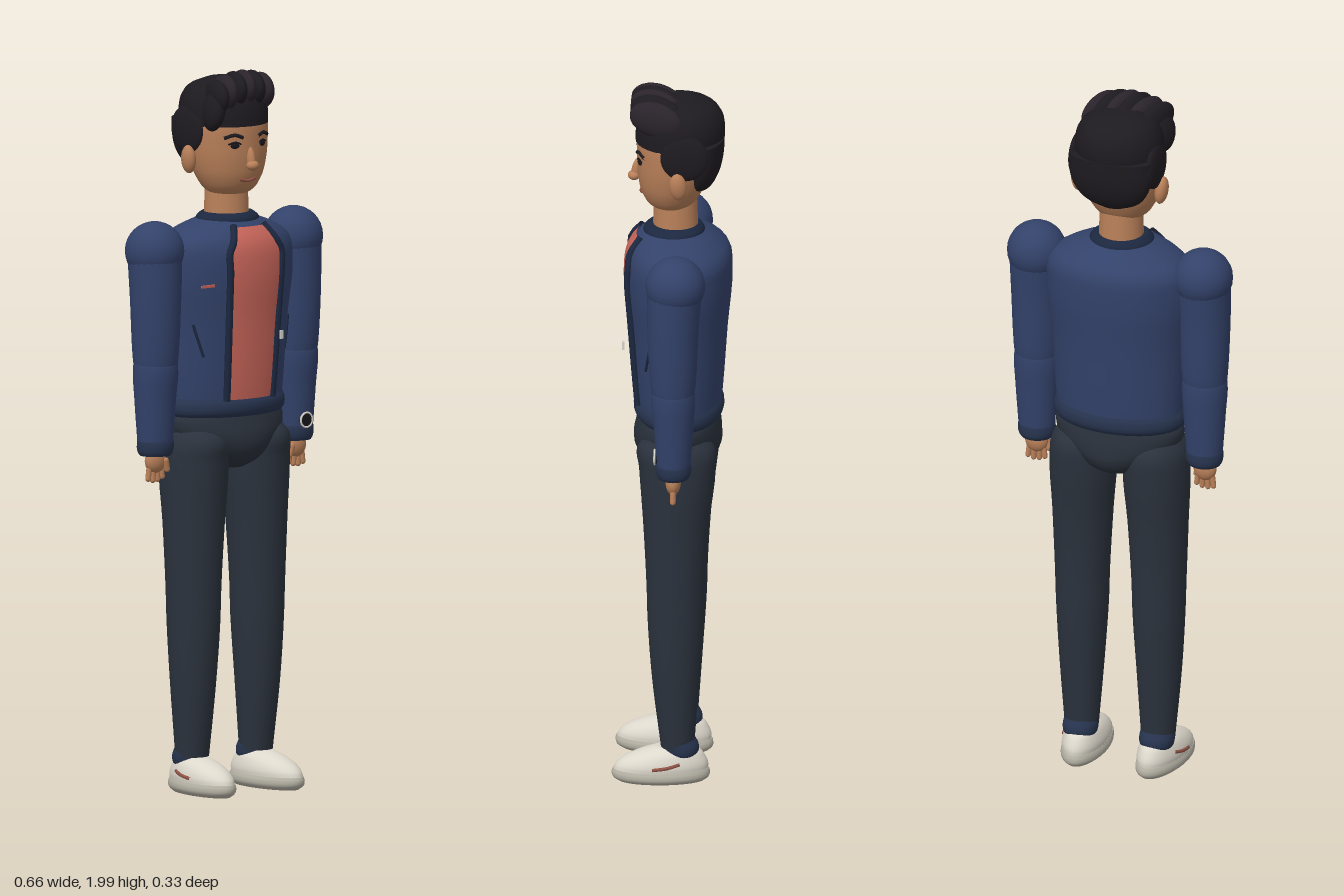
import * as THREE from 'three';

const C = {
  jacket: 0x33426a, trim: 0x1c2840, hem: 0x27344f, shirt: 0xc9665a, pants: 0x2b323d, skin: 0xb98059,
  hair: 0x1e1b20, strand: 0x2a232b, shoe: 0xddd8cc, sole: 0xb9b5a8, dark: 0x17151a, lip: 0x8f5244, metal: 0xd8d4cc,
};
const mats = {};
const mat = (name) => (mats[name] ??= new THREE.MeshStandardMaterial({ color: C[name], side: THREE.DoubleSide }));

function add(parent, name, geometry, color, pos = [0, 0, 0], rot = [0, 0, 0], scale = [1, 1, 1]) {
  const m = new THREE.Mesh(geometry, mat(color));
  m.name = name;
  m.position.set(...pos);
  m.rotation.set(...rot);
  m.scale.set(...scale);
  parent.add(m);
  return m;
}
const ball = (parent, name, color, pos, radii, rot) =>
  add(parent, name, new THREE.SphereGeometry(1, 24, 16), color, pos, rot, radii);
const tube = (parent, name, color, pts, r) => add(parent, name, new THREE.TubeGeometry(
  new THREE.CatmullRomCurve3(pts.map((p) => new THREE.Vector3(...p))), 24, r, 8), color);

// Cross-sections are [y, half width, front z, back z, centre x], smoothly interpolated by height
function section(rings) {
  const f = new THREE.CubicInterpolant(new Float32Array(rings.map((r) => r[0])),
    new Float32Array(rings.flatMap(([, w, f, b, x = 0]) => [w, f, b, x])), 4);
  return (y) => Array.from(f.evaluate(y));
}
function frontZ(rings, x, y) {
  const [w, f, b, cx] = section(rings)(y);
  return (f + b) / 2 + (f - b) / 2 * Math.sqrt(Math.max(0, 1 - ((x - cx) / w) ** 2));
}
function loft(rings, mirror = 1, steps = 4, seg = 32) {
  const at = section(rings), pos = [], idx = [], ys = [];
  rings.forEach(([y], i) => {
    if (i) for (let k = 1; k <= steps; k++) ys.push(rings[i - 1][0] + (y - rings[i - 1][0]) * k / steps);
    else ys.push(y);
  });
  const ring = (y) => {
    const [w, f, b, cx] = at(y);
    for (let j = 0; j < seg; j++) {
      const a = j / seg * Math.PI * 2;
      pos.push(cx * mirror + w * Math.sin(a), y, (f + b) / 2 + (f - b) / 2 * Math.cos(a));
    }
  };
  ys.forEach(ring);
  for (let i = 0; i < ys.length - 1; i++) for (let j = 0; j < seg; j++) {
    const a = i * seg + j, b = i * seg + (j + 1) % seg;
    idx.push(a, b, b + seg, a, b + seg, a + seg);
  }
  // Flat end caps on their own vertices
  for (const top of [false, true]) {
    const start = pos.length / 3;
    ring(top ? ys[ys.length - 1] : ys[0]);
    for (let j = 1; j < seg - 1; j++) idx.push(start, start + (top ? j : j + 1), start + (top ? j + 1 : j));
  }
  const g = new THREE.BufferGeometry();
  g.setAttribute('position', new THREE.Float32BufferAttribute(pos, 3));
  g.setIndex(idx);
  g.computeVertexNormals();
  return g;
}

const TORSO = [[1.06, 0.178, 0.098, -0.13], [1.12, 0.184, 0.105, -0.136], [1.3, 0.195, 0.119, -0.149],
  [1.47, 0.211, 0.132, -0.162], [1.53, 0.196, 0.123, -0.153], [1.565, 0.14, 0.1, -0.115], [1.585, 0.085, 0.076, -0.08]];
const HEAD = [[1.647, 0.035, 0.04, -0.03], [1.658, 0.062, 0.062, -0.05], [1.69, 0.09, 0.085, -0.075],
  [1.74, 0.109, 0.097, -0.097], [1.8, 0.118, 0.1, -0.11], [1.86, 0.118, 0.098, -0.115], [1.93, 0.09, 0.07, -0.09]];

function torso(root) {
  const g = new THREE.Group();
  g.name = 'torso';
  root.add(g);
  add(g, 'jacketBody', loft(TORSO), 'jacket');
  add(g, 'jacketHem', loft([[1.042, 0.178, 0.096, -0.128], [1.055, 0.188, 0.106, -0.137],
    [1.08, 0.189, 0.108, -0.139], [1.095, 0.182, 0.101, -0.133]]), 'hem');
  add(g, 'collar', loft([[1.56, 0.086, 0.078, -0.08], [1.575, 0.091, 0.083, -0.087],
    [1.59, 0.086, 0.079, -0.083], [1.6, 0.074, 0.066, -0.072]]), 'trim');
  // Shirt panel laid over the open front
  const halfWidth = (y) => y > 1.5 ? 0.091 - (y - 1.5) * 0.55 : 0.08 + (y - 1.09) * 0.027;
  const panel = new THREE.PlaneGeometry(1, 1, 16, 24), p = panel.attributes.position;
  for (let i = 0; i < p.count; i++) {
    const y = 1.092 + (p.getY(i) + 0.5) * 0.476, x = p.getX(i) * 2 * halfWidth(y);
    p.setXYZ(i, x, y, frontZ(TORSO, x, y) + 0.004);
  }
  panel.computeVertexNormals();
  add(g, 'shirt', panel, 'shirt');
  for (const s of [-1, 1]) {
    const edge = [1.09, 1.2, 1.35, 1.46, 1.5, 1.53, 1.572].map((y) => {
      const x = s * halfWidth(y);
      return [x, y, frontZ(TORSO, x, y) + 0.004];
    });
    tube(g, 'zipTrim', 'trim', edge, 0.01);
    tube(g, 'pocketSlit', 'trim', [[0.168, 1.305], [0.156, 1.26], [0.143, 1.215]].map(([x, y]) =>
      [s * x, y, frontZ(TORSO, x, y) + 0.001]), 0.004);
  }
  add(g, 'zipPull', new THREE.BoxGeometry(0.009, 0.024, 0.006), 'metal', [0.08, 1.265, 0.134]);
  add(g, 'chestZip', new THREE.BoxGeometry(0.045, 0.007, 0.006), 'shirt', [-0.155, 1.415, 0.103]);
  add(g, 'hips', loft([[0.895, 0.045, 0.045, -0.065], [0.915, 0.085, 0.08, -0.105], [0.95, 0.13, 0.104, -0.13],
    [0.99, 0.172, 0.108, -0.134], [1.03, 0.185, 0.1, -0.13], [1.055, 0.176, 0.094, -0.126]]), 'pants');
}

function arm(root, s) {
  const g = new THREE.Group();
  g.name = s > 0 ? 'leftArm' : 'rightArm';
  root.add(g);
  ball(g, 'shoulder', 'jacket', [s * 0.246, 1.509, -0.016], [0.082, 0.082, 0.082]);
  add(g, 'upperSleeve', loft([[1.19, 0.061, 0.049, -0.068, 0.248], [1.22, 0.064, 0.053, -0.072, 0.248],
    [1.38, 0.071, 0.061, -0.08, 0.248], [1.52, 0.077, 0.061, -0.092, 0.246]], s), 'jacket');
  add(g, 'foreSleeve', loft([[0.985, 0.051, 0.036, -0.058, 0.248], [1.1, 0.059, 0.044, -0.066, 0.248],
    [1.19, 0.063, 0.051, -0.07, 0.248], [1.215, 0.058, 0.045, -0.065, 0.248]], s), 'jacket');
  add(g, 'cuff', loft([[0.945, 0.044, 0.031, -0.052, 0.248], [0.955, 0.05, 0.036, -0.058, 0.248],
    [0.98, 0.052, 0.038, -0.059, 0.248], [0.993, 0.049, 0.034, -0.056, 0.248]], s), 'hem');
  // Hand with four fingers and a thumb
  ball(g, 'palm', 'skin', [s * 0.249, 0.93, -0.01], [0.033, 0.035, 0.021]);
  for (let i = 0; i < 4; i++) {
    const x = 0.226 + i * 0.0155, len = [0.022, 0.03, 0.032, 0.026][i];
    add(g, 'finger', new THREE.CapsuleGeometry(0.0078, len, 4, 10), 'skin',
      [s * x, 0.9 - len / 4, -0.01], [0, 0, s * (i - 1.5) * 0.08]);
  }
  add(g, 'thumb', new THREE.CapsuleGeometry(0.0085, 0.026, 4, 10), 'skin', [s * 0.221, 0.917, 0.004], [0.1, 0, -s * 0.25]);
}

function leg(root, s) {
  const g = new THREE.Group();
  g.name = s > 0 ? 'leftLeg' : 'rightLeg';
  root.add(g);
  add(g, 'trouserLeg', loft([[0.1, 0.047, 0.03, -0.062, 0.113], [0.3, 0.062, 0.054, -0.076, 0.114],
    [0.47, 0.072, 0.066, -0.087, 0.113], [0.57, 0.075, 0.069, -0.09, 0.113], [0.75, 0.083, 0.078, -0.102, 0.111],
    [0.92, 0.091, 0.09, -0.121, 0.108], [0.98, 0.083, 0.094, -0.118, 0.108], [1.02, 0.055, 0.06, -0.085, 0.108]], s), 'pants');
  add(g, 'ankleCuff', loft([[0.07, 0.04, 0.015, -0.065, 0.113], [0.085, 0.047, 0.022, -0.074, 0.113],
    [0.105, 0.049, 0.028, -0.074, 0.113], [0.125, 0.046, 0.03, -0.064, 0.113]], s), 'hem');
  // Shoe, toes turned slightly out
  const shoe = new THREE.Group();
  shoe.name = 'shoe';
  shoe.position.x = s * 0.113;
  shoe.rotation.y = s * 0.07;
  g.add(shoe);
  add(shoe, 'sole', loft([[0, 0.048, 0.145, -0.09], [0.01, 0.06, 0.16, -0.102], [0.025, 0.063, 0.165, -0.105],
    [0.036, 0.06, 0.162, -0.102]]), 'sole');
  add(shoe, 'upper', loft([[0.034, 0.059, 0.16, -0.1], [0.05, 0.06, 0.153, -0.1], [0.07, 0.055, 0.128, -0.092],
    [0.088, 0.045, 0.085, -0.078], [0.1, 0.03, 0.045, -0.055]]), 'shoe');
  tube(shoe, 'sideStripe', 'lip', [[0.052, 0.062, -0.02], [0.06, 0.054, 0.015], [0.058, 0.048, 0.055]]
    .map(([x, y, z]) => [s * x, y, z]), 0.005);
}

function head(root) {
  const g = new THREE.Group();
  g.name = 'head';
  root.add(g);
  add(g, 'neck', new THREE.CylinderGeometry(0.058, 0.063, 0.13, 32), 'skin', [0, 1.635, -0.006]);
  add(g, 'face', loft(HEAD), 'skin');
  const onFace = (x, y, out = 0) => [x, y, frontZ(HEAD, x, y) + out];
  ball(g, 'noseBridge', 'skin', [0, 1.757, 0.098], [0.012, 0.036, 0.016], [-0.25, 0, 0]);
  ball(g, 'noseTip', 'skin', [0, 1.737, 0.108], [0.018, 0.014, 0.017]);
  tube(g, 'mouth', 'lip', [onFace(-0.027, 1.698), onFace(0, 1.693, 0.002), onFace(0.027, 1.698)], 0.0045);
  for (const s of [-1, 1]) {
    ball(g, 'eye', 'dark', onFace(s * 0.048, 1.793, -0.001), [0.013, 0.008, 0.005], [0, s * 0.35, 0]);
    tube(g, 'eyelid', 'dark', [onFace(s * 0.031, 1.797), onFace(s * 0.048, 1.803, 0.001), onFace(s * 0.066, 1.797)], 0.0025);
    tube(g, 'eyebrow', 'hair', [onFace(s * 0.026, 1.815), onFace(s * 0.05, 1.823, 0.001), onFace(s * 0.076, 1.815)], 0.005);
    ball(g, 'ear', 'skin', [s * 0.124, 1.752, -0.018], [0.018, 0.04, 0.024], [0.1, 0, -s * 0.12]);
    ball(g, 'sideHair', 'hair', [s * 0.114, 1.832, -0.035], [0.017, 0.066, 0.066]);
  }
  // Hair: crown, rounded back and swept quiff
  add(g, 'crownHair', loft([[1.845, 0.122, 0.104, -0.138], [1.885, 0.123, 0.102, -0.142], [1.925, 0.112, 0.09, -0.132],
    [1.953, 0.088, 0.065, -0.105], [1.97, 0.045, 0.03, -0.06]]), 'hair');
  add(g, 'backHair', loft([[1.705, 0.035, -0.045, -0.088], [1.72, 0.07, -0.04, -0.105], [1.755, 0.103, -0.036, -0.125],
    [1.8, 0.119, -0.03, -0.137], [1.86, 0.122, -0.025, -0.141]]), 'hair');
  for (let i = 0; i < 6; i++) {
    const x = -0.078 + i * 0.032, y = 1.944 - Math.abs(i - 2.8) ** 2 * 0.0025;
    ball(g, 'quiffLock', i % 2 ? 'strand' : 'hair', [x, y, 0.045], [0.026, 0.05, 0.077], [-0.15, -0.32, 0]);
  }
  ball(g, 'quiffFringe', 'hair', [-0.094, 1.892, 0.055], [0.028, 0.058, 0.05], [0, -0.3, -0.15]);
}

export function createModel() {
  const root = new THREE.Group();
  root.name = 'figure';
  torso(root);
  head(root);
  for (const s of [-1, 1]) {
    arm(root, s);
    leg(root, s);
  }
  // Wristwatch on the left cuff
  add(root, 'watchFace', new THREE.CylinderGeometry(0.019, 0.019, 0.01, 24), 'dark', [0.246, 1.003, 0.037], [Math.PI / 2, 0, 0]);
  add(root, 'watchRim', new THREE.TorusGeometry(0.02, 0.003, 8, 24), 'metal', [0.246, 1.003, 0.041]);
  return root;
}
